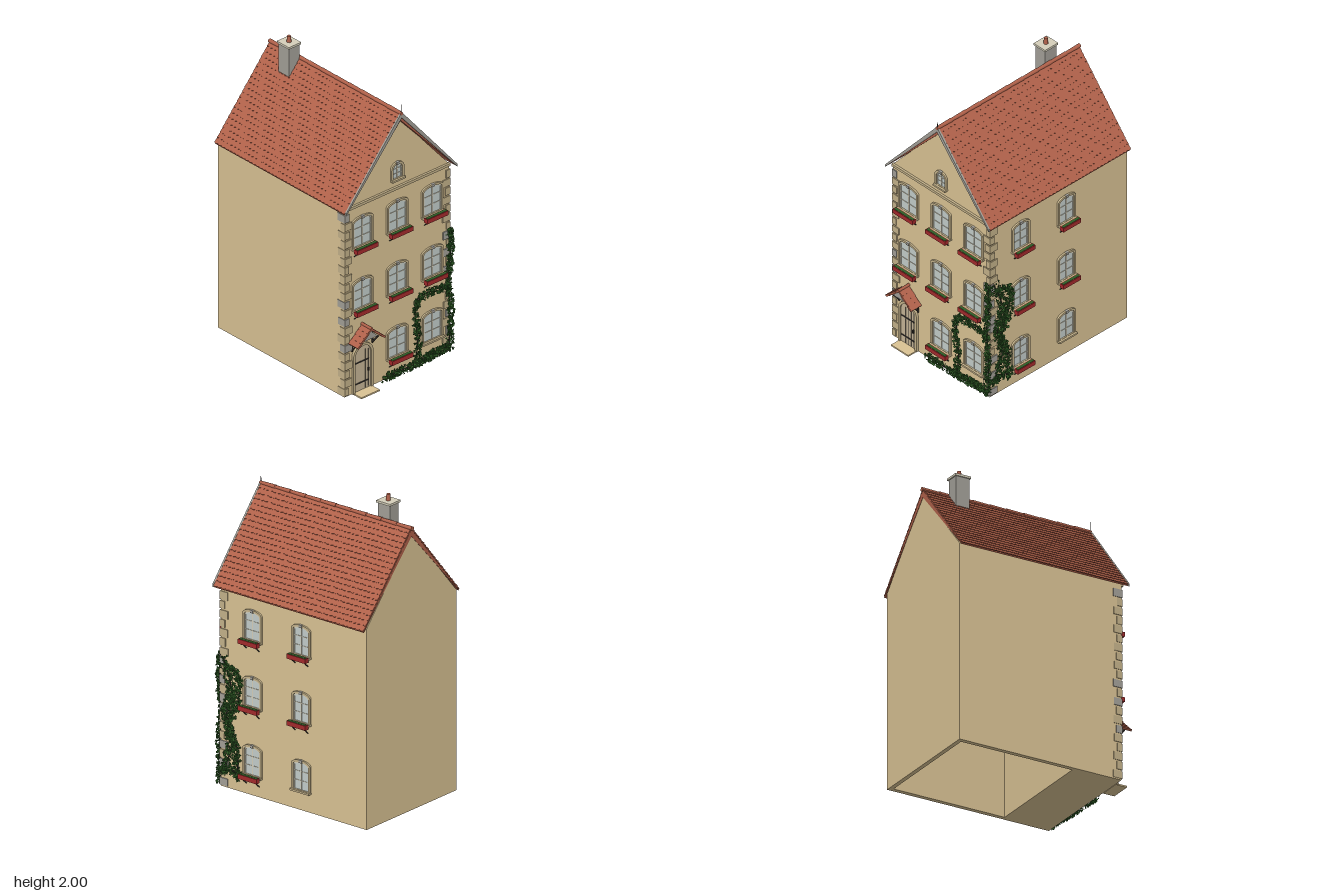
import * as THREE from 'three';
import { mergeGeometries } from 'three/addons/utils/BufferGeometryUtils.js';

const mat = (name, color, side = THREE.FrontSide) => {
  const m = new THREE.MeshStandardMaterial({ color, side });
  m.name = name;
  return m;
};

export function createModel() {
  const wall = mat('plaster', 0xdac394), stone = mat('tan stone', 0xc4b28a), grey = mat('grey stone', 0xa3a098),
    tile = mat('roof tile', 0xb0614a), red = mat('red paint', 0xa42a2c), iron = mat('dark iron', 0x34302c),
    glass = mat('window glass', 0xc4cecb), cream = mat('cream', 0xd5cfba), wood = mat('door wood', 0xc6b596),
    leafMat = mat('ivy green', 0x2f5c26, THREE.DoubleSide);

  let seed = 7;
  const rnd = () => (seed = (seed * 16807) % 2147483647) / 2147483647;
  const spread = (s) => (rnd() - 0.5) * 2 * s;

  const house = new THREE.Group();
  house.name = 'house';
  const add = (name, geo, m, parent = house) => {
    const mesh = new THREE.Mesh(geo, m);
    mesh.name = name;
    parent.add(mesh);
    return mesh;
  };
  const box = (name, m, w, h, d, x, y, z, parent) => {
    const b = add(name, new THREE.BoxGeometry(w, h, d), m, parent);
    b.position.set(x, y, z);
    return b;
  };
  const group = (name, x, y, z, ry = 0) => {
    const g = new THREE.Group();
    g.name = name;
    g.position.set(x, y, z);
    g.rotation.y = ry;
    house.add(g);
    return g;
  };
  const poly = (pts) => new THREE.Shape(pts.map(([x, y]) => new THREE.Vector2(x, y)));
  const extrude = (shape, depth, z = 0) =>
    new THREE.ExtrudeGeometry(shape, { depth, bevelEnabled: false, curveSegments: 10 }).translate(0, 0, z);

  // Opening outline with an elliptical head of the given rise
  const arch = (w, h, rise, y0 = 0) => {
    const s = new THREE.Shape();
    s.moveTo(-w / 2, y0).lineTo(w / 2, y0).lineTo(w / 2, h - rise);
    s.absellipse(0, h - rise, w / 2, rise, 0, Math.PI, false);
    return s.closePath();
  };
  const ring = (w, h, rise, t, depth) => {
    const s = arch(w + 2 * t, h + t, rise + t * 0.6);
    s.holes.push(arch(w, h, rise, 0.002));
    return extrude(s, depth);
  };

  // Walls: hollow at the back, open underneath
  const rect = (x0, x1, z0, z1) => poly([[x0, -z1], [x1, -z1], [x1, -z0], [x0, -z0]]);
  const plan = rect(-0.44, 0.41, -0.613, 0.53);
  plan.holes.push(rect(-0.41, 0.38, -0.585, 0.2));
  add('walls', extrude(plan, 1.298).rotateX(-Math.PI / 2).translate(0, 0.012, 0), wall);
  add('gable', extrude(poly([[-0.44, 1.3], [0.41, 1.3], [0.41, 1.32], [-0.015, 1.81], [-0.44, 1.32]]), 1.143, -0.613), wall);
  box('cornice', stone, 0.85, 0.018, 0.02, -0.015, 1.318, 0.535);

  // Roof: slab, front bargeboards and overlapping scalloped courses
  const ridgeX = -0.013, ridgeY = 1.85, eaveY = 1.315;
  const chevron = (top, bottom) => poly([[-0.465, eaveY - bottom], [ridgeX, ridgeY - bottom], [0.44, eaveY - bottom],
    [0.44, eaveY - top], [ridgeX, ridgeY - top], [-0.465, eaveY - top]].map(([x, y]) => [x, Math.max(y, 1.305)]));
  add('roofSlab', extrude(chevron(0.008, 0.055), 1.178, -0.615), tile);
  add('bargeboards', extrude(chevron(-0.008, 0.032), 0.012, 0.562), grey);

  const courses = 20, tiles = 38, roofLength = 1.178;
  for (const side of [-1, 1]) {
    const eave = new THREE.Vector3(side > 0 ? 0.44 : -0.465, eaveY, 0);
    const up = new THREE.Vector3(ridgeX, ridgeY, 0).sub(eave);
    const step = up.length() / courses;
    up.normalize();
    const along = new THREE.Vector3(0, 0, -side);
    const normal = along.clone().cross(up);
    const parts = [];
    for (let i = 0; i < courses; i++) {
      const pts = [];
      for (let k = 0; k <= tiles * 4; k++) {
        const phase = (k / 4 + (i % 2) / 2) * Math.PI;
        pts.push([(k / (tiles * 4) - 0.5) * roofLength, -0.006 * Math.abs(Math.sin(phase))]);
      }
      pts.push([roofLength / 2, step + 0.004], [-roofLength / 2, step + 0.004]);
      parts.push(extrude(poly(pts), 0.006).rotateX(-0.13).translate(0, i * step, 0));
    }
    const slope = add(side > 0 ? 'rightRoofTiles' : 'leftRoofTiles', mergeGeometries(parts), tile);
    slope.applyMatrix4(new THREE.Matrix4().makeBasis(along, up, normal).setPosition(eave.x, eave.y, -0.026));
  }
  for (let i = 0; i < 10; i++) {
    const cap = add('ridgeTile', new THREE.CylinderGeometry(0.011, 0.014, 0.122, 10), tile);
    cap.rotation.x = Math.PI / 2;
    cap.position.set(ridgeX, ridgeY - 0.003, -0.562 + i * 0.1195);
  }
  add('finial', new THREE.ConeGeometry(0.004, 0.08, 6), iron).position.set(ridgeX, 1.875, 0.568);

  // Chimney
  box('chimneyStack', grey, 0.084, 0.25, 0.094, -0.065, 1.825, -0.39);
  box('chimneyCap', cream, 0.1, 0.014, 0.11, -0.065, 1.952, -0.39);
  add('chimneyPot', new THREE.CylinderGeometry(0.012, 0.015, 0.042, 12), tile).position.set(-0.065, 1.979, -0.39);

  // Corner stones wrapping both front corners
  for (const side of [-1, 1]) {
    for (let i = 0; i < 21; i++) {
      const long = i % 2, w = (long ? 0.058 : 0.036) + spread(0.005), d = (long ? 0.04 : 0.062) + spread(0.005);
      const x = side > 0 ? 0.416 - w / 2 : -0.444 + w / 2;
      box('cornerStone', rnd() < 0.22 ? grey : stone, w, 0.05 + spread(0.004), d, x, 0.045 + i * 0.0605, 0.537 - d / 2);
    }
  }

  // Window with surround, panes, sill and optional flower box
  const windowUnit = (name, x, y, z, ry, w, h, rise, planter) => {
    const g = group(name, x, y, z, ry);
    add('surround', ring(w, h, rise, 0.014, 0.012), stone, g);
    add('glass', extrude(arch(w, h, rise), 0.002), glass, g);
    add('frame', ring(w - 0.014, h - 0.007, rise, 0.007, 0.006), cream, g);
    box('mullion', cream, 0.007, h - 0.006, 0.005, 0, h / 2, 0.003, g);
    for (const f of [0.33, 0.66]) box('glazingBar', cream, w, 0.004, 0.004, 0, h * f, 0.003, g);
    box('keystone', grey, 0.022, 0.018, 0.016, 0, h + 0.006, 0.008, g);
    box('sill', stone, w + 0.03, 0.012, 0.026, 0, -0.006, 0.013, g);
    if (!planter) return;
    box('flowerBox', red, w + 0.028, 0.03, 0.03, 0, -0.01, 0.042, g);
    box('soil', leafMat, w + 0.016, 0.003, 0.02, 0, 0.0055, 0.042, g);
    for (const s of [-1, 1]) {
      box('bracketArm', iron, 0.005, 0.005, 0.05, s * w * 0.42, -0.027, 0.025, g);
      box('bracketBrace', iron, 0.005, 0.055, 0.005, s * w * 0.42, -0.045, 0.022, g).rotation.x = 0.83;
    }
  };
  [0.15, 0.595, 1.03].forEach((y, row) => {
    [-0.3, -0.015, 0.27].forEach((x, col) => {
      if (row || col) windowUnit('frontWindow', x, y, 0.53, 0, 0.145, 0.19, 0.022, row || col === 1);
    });
    [0.28, -0.103].forEach((z, col) =>
      windowUnit('sideWindow', 0.41, y - 0.006, z, Math.PI / 2, 0.12, 0.182, 0.022, row || col === 0));
  });
  windowUnit('atticWindow', -0.015, 1.385, 0.53, 0, 0.075, 0.1, 0.035, false);

  // Front door, step and hinges
  const door = group('frontDoor', -0.3, 0.012, 0.53);
  add('doorSurround', ring(0.13, 0.315, 0.065, 0.016, 0.016), stone, door);
  add('doorLeaf', extrude(arch(0.13, 0.315, 0.065), 0.006), wood, door);
  for (let i = -2; i <= 2; i++) box('plankGap', iron, 0.002, 0.285 - Math.abs(i) * 0.012, 0.002, i * 0.024, 0.145, 0.006, door);
  for (const y of [0.06, 0.205]) box('hinge', iron, 0.11, 0.008, 0.004, -0.005, y, 0.008, door);
  box('handle', iron, 0.008, 0.022, 0.012, 0.045, 0.135, 0.01, door);
  box('doorstep', wall, 0.15, 0.01, 0.08, 0, 0.002, 0.04, door);

  // Tiled porch hood on braces
  const porch = group('porch', -0.3, 0.37, 0.53);
  add('porchGable', extrude(poly([[-0.08, 0.015], [0.08, 0.015], [0, 0.088]]), 0.06), grey, porch);
  for (const s of [-1, 1]) {
    for (let i = 0; i < 4; i++) {
      const t = (i + 0.5) / 4;
      box('porchCourse', tile, 0.042, 0.013, 0.083 + (i % 2) * 0.004, s * 0.108 * t, 0.102 - 0.094 * t, 0.048, porch)
        .rotation.z = -s * 0.64;
    }
    box('porchPost', iron, 0.008, 0.075, 0.008, s * 0.083, -0.02, 0.005, porch);
    box('porchBrace', iron, 0.008, 0.085, 0.008, s * 0.083, -0.02, 0.03, porch).rotation.x = 0.7;
  }
  const porchRidge = add('porchRidge', new THREE.CylinderGeometry(0.01, 0.01, 0.092, 8), tile, porch);
  porchRidge.rotation.x = Math.PI / 2;
  porchRidge.position.set(0, 0.106, 0.047);

  // Ivy: stems with folded leaves scattered along them, [path, band half width, leaves per unit]
  const front = (...p) => p.map(([x, y]) => new THREE.Vector3(x, y, 0.542));
  const flank = (...p) => p.map(([z, y]) => new THREE.Vector3(0.42, y, z));
  const vines = [
    [front([-0.13, 0.035], [0.1, 0.035], [0.25, 0.05], [0.41, 0.06]), 0.03, 900],
    [front([0.13, 0.05], [0.145, 0.2], [0.125, 0.36], [0.14, 0.47], [0.25, 0.495], [0.4, 0.48]), 0.026, 480],
    [front([0.4, 0.04], [0.408, 0.3], [0.39, 0.5], [0.41, 0.7], [0.405, 0.87]), 0.024, 480],
    [flank([0.52, 0.1], [0.44, 0.3], [0.48, 0.5], [0.44, 0.65], [0.51, 0.86]), 0.036, 550],
    [flank([0.39, 0.1], [0.4, 0.3], [0.46, 0.42], [0.39, 0.6], [0.385, 0.77], [0.47, 0.8]), 0.027, 480],
    [flank([0.53, 0.12], [0.46, 0.14], [0.38, 0.12]), 0.025, 450],
  ];
  const verts = [];
  for (const [path, band, density] of vines) {
    const curve = new THREE.CatmullRomCurve3(path);
    add('ivyStem', new THREE.TubeGeometry(curve, 30, 0.004, 5), iron);
    const onFlank = path[0].x === path[1].x;
    const count = curve.getLength() * density;
    for (let i = 0; i < count; i++) {
      const c = curve.getPoint(rnd());
      const a = spread(band), b = spread(band), out = rnd() * 0.016 - 0.002, size = 0.009 + rnd() * 0.005;
      c.add(onFlank ? new THREE.Vector3(out, b, a) : new THREE.Vector3(a, b, out));
      c.y = Math.max(c.y, 0.014);
      const turn = new THREE.Euler(spread(0.6), (onFlank ? Math.PI / 2 : 0) + spread(0.6), spread(3), 'YXZ');
      const [tip, left, base, right] = [[0, -1, 0], [-0.85, 0.2, 0.3], [0, 0.9, 0], [0.85, 0.2, 0.3]]
        .map((p) => new THREE.Vector3(...p).multiplyScalar(size).applyEuler(turn).add(c));
      for (const p of [tip, base, left, tip, right, base]) verts.push(p.x, Math.max(p.y, 0), p.z);
    }
  }
  const leaves = new THREE.BufferGeometry();
  leaves.setAttribute('position', new THREE.Float32BufferAttribute(verts, 3));
  leaves.computeVertexNormals();
  add('ivyLeaves', leaves, leafMat);

  return house;
}
